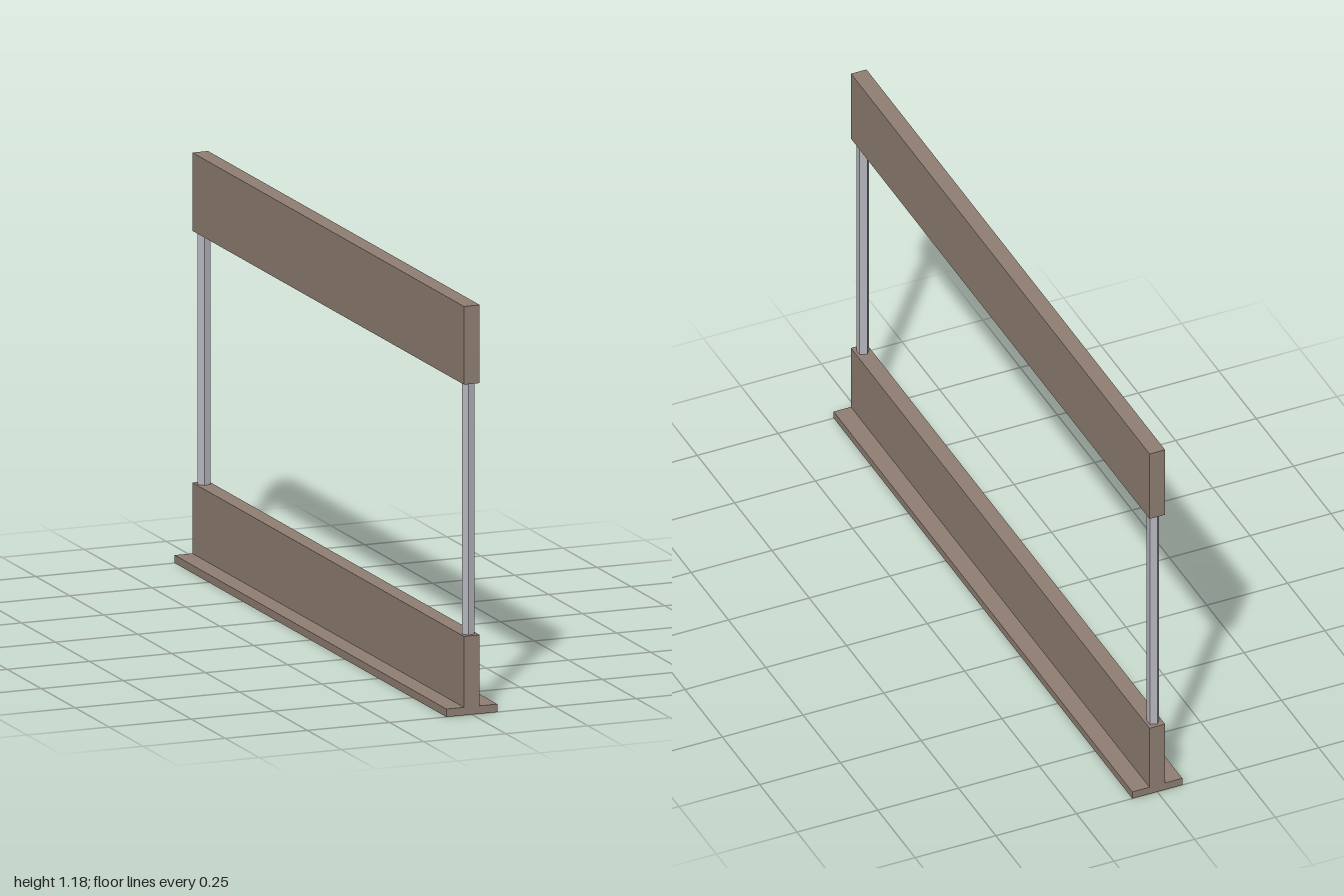
import * as THREE from 'three';

export function createModel() {
  const model = new THREE.Group();
  model.name = 'boardFence';

  const wood = new THREE.MeshStandardMaterial({ color: 0x8f7e72 });
  wood.name = 'weathered brown';
  const metal = new THREE.MeshStandardMaterial({ color: 0xb6b6be });
  metal.name = 'pale grey metal';
  metal.flatShading = true;

  // Full-length board spanning y0 to y1
  function board(name, width, y0, y1) {
    const mesh = new THREE.Mesh(new THREE.BoxGeometry(width, y1 - y0, 2), wood);
    mesh.name = name;
    mesh.position.y = (y0 + y1) / 2;
    model.add(mesh);
  }
  board('basePlate', 0.155, 0, 0.023);
  board('lowerBoard', 0.048, 0.023, 0.228);
  board('upperBoard', 0.048, 0.956, 1.182);

  // Five-sided posts at both ends, one corner towards -x
  const postGeometry = new THREE.CylinderGeometry(0.019, 0.019, 0.728, 5, 1, false, Math.PI * 1.5);
  for (const side of [1, -1]) {
    const post = new THREE.Mesh(postGeometry, metal);
    post.name = side > 0 ? 'frontPost' : 'backPost';
    post.position.set(0, 0.592, side * 0.972);
    model.add(post);
  }
  return model;
}
